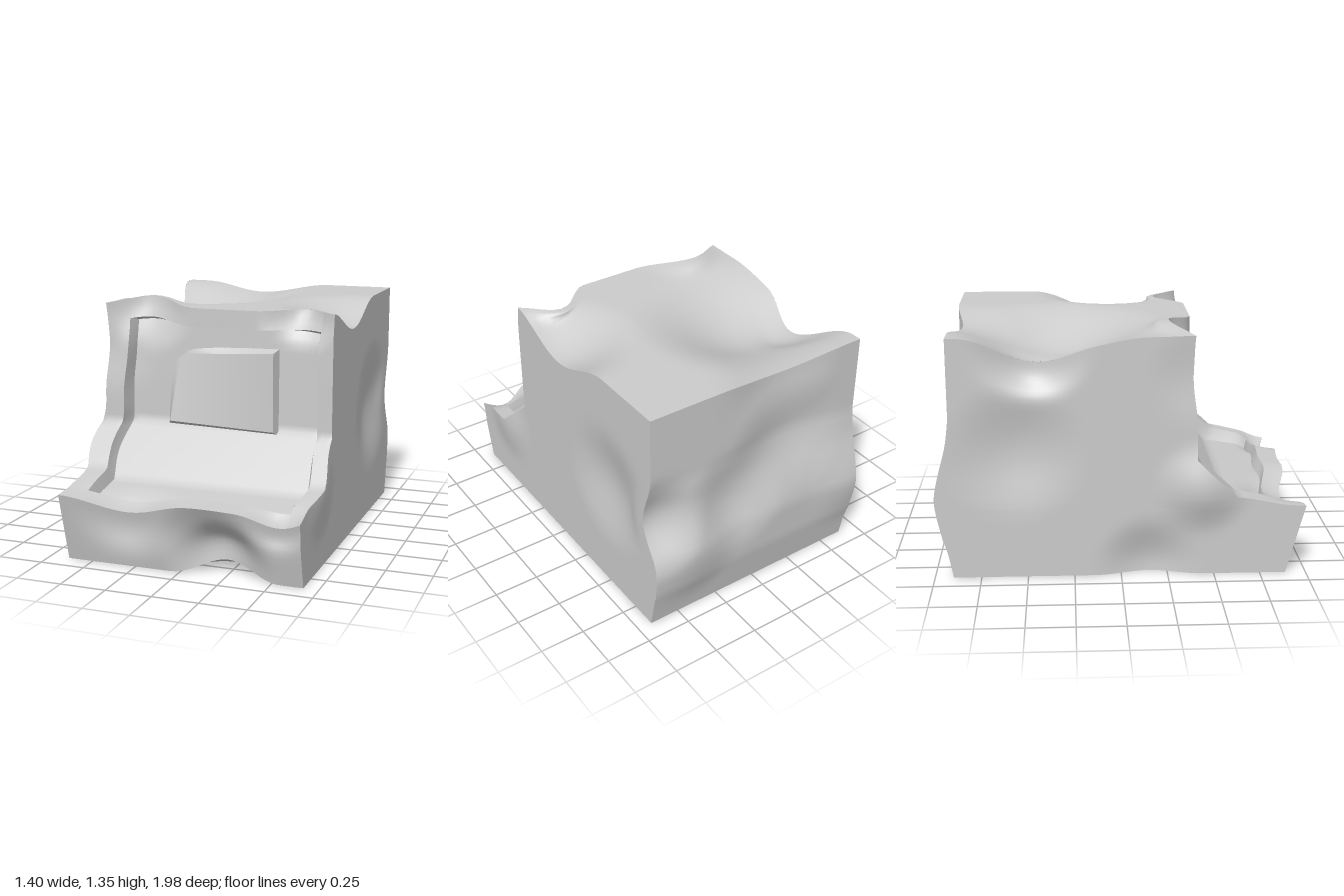
import * as THREE from 'three';

const X0 = -0.64, X1 = 0.67, IN0 = -0.53, IN1 = 0.59;

// Dents: centre, radius, push
const DENTS = [
  // front top edge and bezel
  [-0.4, 1.32, 0.4, 0.3, 0, 0.04, -0.14],
  [0.48, 1.32, 0.4, 0.24, 0, 0, -0.16],
  [-0.58, 1.1, 0.4, 0.3, 0.02, 0, -0.03],
  // roof hollows
  [-0.3, 1.31, -0.35, 0.62, 0, -0.17, 0],
  [0.67, 1.31, -0.03, 0.45, 0, -0.13, 0],
  [-0.64, 1.31, -0.48, 0.36, 0.09, -0.08, 0],
  [-0.12, 1.31, -0.9, 0.4, 0, -0.05, 0.05],
  // tray ends and front lip
  [-0.64, 0.49, 0.43, 0.28, -0.06, 0, 0],
  [0.67, 0.42, 0.62, 0.28, 0.03, 0, 0],
  [-0.28, 0.36, 0.99, 0.36, 0, -0.08, -0.08],
  [0.55, 0.36, 0.99, 0.22, 0, -0.07, -0.06],
  // lower front panel
  [0.25, 0.05, 0.9, 0.3, 0, 0.08, -0.07],
  [0.15, 0.2, 0.94, 0.3, 0, 0, -0.06],
  // back
  [0.67, 0.64, -0.94, 0.32, 0, 0, 0.1],
  [0.15, 0.62, -0.94, 0.35, 0, 0, 0.06],
  [-0.64, 0.44, -0.96, 0.35, 0, 0, -0.04],
  [0.45, 0.4, -0.96, 0.35, 0, 0, -0.04],
  [-0.2, 0.85, -0.91, 0.4, 0, 0, 0.06],
  // flanks
  [0.67, 0.65, -0.5, 0.4, -0.05, 0, 0],
  [-0.64, 0.05, 0.15, 0.3, 0.06, 0, 0],
  [-0.64, 0.7, -0.55, 0.4, 0.05, 0, 0],
];

function warp([x, y, z]) {
  const p = [x, y, z];
  for (const [cx, cy, cz, r, dx, dy, dz] of DENTS) {
    const d = Math.hypot(x - cx, y - cy, z - cz) / r;
    if (d >= 1) continue;
    const w = 0.5 + 0.5 * Math.cos(Math.PI * d);
    p[0] += dx * w; p[1] += dy * w; p[2] += dz * w;
  }
  p[1] = Math.max(0, p[1]);
  return p;
}

const mix = (a, b, t) => a.map((v, i) => v + (b[i] - v) * t);

// Straight run of n equal steps
const run = (a, b, n) => Array.from({ length: n + 1 }, (_, i) => mix(a, b, i / n));

// Resample a polyline with short steps
function dense(points, step = 0.04) {
  const out = [points[0]];
  for (let i = 1; i < points.length; i++) {
    const a = points[i - 1], b = points[i];
    const n = Math.max(1, Math.ceil(Math.hypot(...a.map((v, k) => v - b[k])) / step));
    out.push(...run(a, b, n).slice(1));
  }
  return out;
}

// Profiles are [y, z] pairs
const at = (x, profile) => profile.map(([y, z]) => [x, y, z]);

export function createModel() {
  const group = new THREE.Group();
  const material = new THREE.MeshStandardMaterial({ color: 0xcccccc, side: THREE.DoubleSide });

  // Dented sheet ruled between two equally long paths
  function sheet(name, a, b, cols) {
    const pos = [], idx = [], w = cols + 1;
    a.forEach((p, i) => {
      for (let j = 0; j <= cols; j++) pos.push(...warp(mix(p, b[i], j / cols)));
      if (i) for (let j = 0; j < cols; j++) {
        const q = (i - 1) * w + j;
        idx.push(q, q + w, q + 1, q + 1, q + w, q + w + 1);
      }
    });
    const g = new THREE.BufferGeometry();
    g.setAttribute('position', new THREE.Float32BufferAttribute(pos, 3));
    g.setIndex(idx);
    g.computeVertexNormals();
    const mesh = new THREE.Mesh(g, material);
    mesh.name = name;
    group.add(mesh);
  }
  const band = (name, profile, xa, xb) => {
    const p = dense(profile);
    sheet(name, at(xa, p), at(xb, p), Math.ceil((xb - xa) / 0.035));
  };

  const front = [[1.31, 0.4], [1.21, 0.4], [0.65, 0.4], [0.44, 0.62], [0.39, 0.87], [0.38, 0.99]];
  const floor = [[1.2, 0.3], [0.65, 0.31], [0.37, 0.58], [0.33, 0.85]];
  const back = [[0, -0.9], [0.22, -0.94], [0.44, -0.95], [0.65, -0.93], [0.88, -0.9], [1.31, -0.9]];

  // Outer shell
  band('lowerFront', [[0.38, 0.99], [0, 0.89]], X0, X1);
  band('base', [[0, 0.89], [0, -0.9]], X0, X1);
  band('backPanel', back, X0, X1);
  band('roof', [[1.31, -0.9], [1.31, 0.4]], X0, X1);

  // Side panels: rows between the back and front outlines
  const rim = dense([[0, 0.89], ...[...front].reverse()]);
  const backZ = (y) => {
    const i = Math.max(1, back.findIndex((p) => p[0] >= y - 1e-6));
    const [ya, za] = back[i - 1], [yb, zb] = back[i];
    return za + (zb - za) * (y - ya) / (yb - ya);
  };
  const rear = rim.map(([y]) => [y, backZ(y)]);
  sheet('leftSide', at(X1, rear), at(X1, rim), 46);
  sheet('rightSide', at(X0, rim), at(X0, rear), 46);

  // Raised bezel around the front
  band('bezelRight', front, X0, IN0);
  band('bezelLeft', front, IN1, X1);
  band('bezelTop', front.slice(0, 2), IN0, IN1);
  band('frontLip', front.slice(4), IN0, IN1);

  // Recess walls and its curved floor
  const edge = front.slice(1, 5), F0 = IN0 + 0.02, F1 = IN1 - 0.02;
  const fine = dense(edge.map((p, i) => [...p, ...floor[i]]), 0.05);
  const outer = fine.map((p) => p.slice(0, 2)), inner = fine.map((p) => p.slice(2));
  sheet('recessWallRight', at(IN0, outer), at(F0, inner), 3);
  sheet('recessWallLeft', at(F1, inner), at(IN1, outer), 3);
  const across = (xa, xb, yz) => run([xa, ...yz], [xb, ...yz], 32);
  sheet('recessWallTop', across(F0, F1, floor[0]), across(IN0, IN1, edge[0]), 3);
  sheet('recessWallBottom', across(IN0, IN1, edge[3]), across(F0, F1, floor[3]), 3);
  band('recessFloor', floor, F0, F1);

  // Raised screen, its upper right corner sunk into the panel
  const face = [[-0.23, 1.04, 0.3], [-0.27, 0.67, 0.36], [0.33, 0.65, 0.36], [0.33, 1.08, 0.36]];
  const foot = [[-0.29, 1.1, 0.29], [-0.3, 0.64, 0.3], [0.35, 0.62, 0.3], [0.35, 1.1, 0.29]];
  sheet('screen', run(face[0], face[1], 14), run(face[3], face[2], 14), 14);
  for (let i = 0; i < 4; i++) {
    const k = (i + 1) % 4;
    sheet('screenEdge', run(foot[i], foot[k], 14), run(face[i], face[k], 14), 2);
  }
  return group;
}
